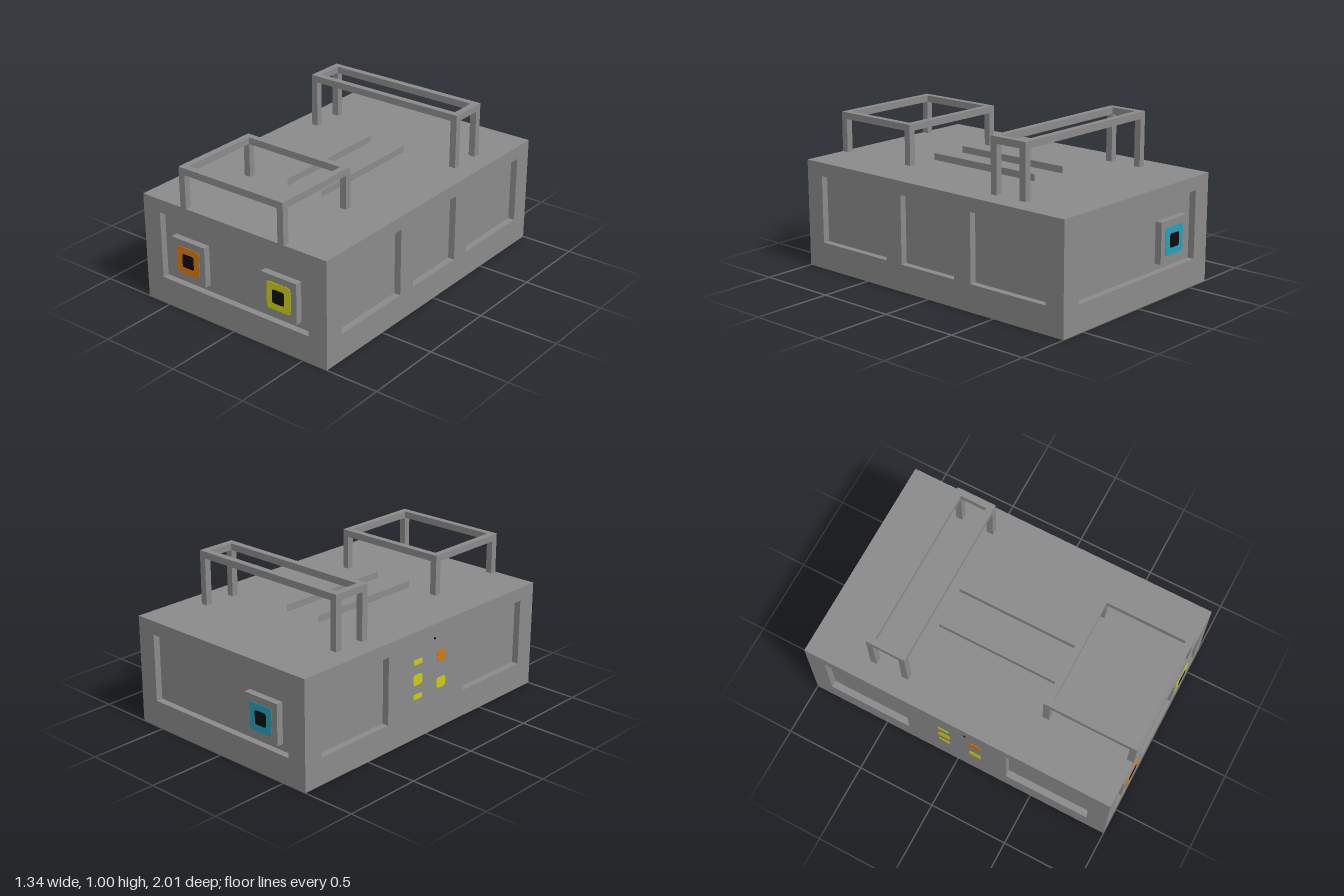
import * as THREE from 'three';

const U = 1 / 24; // thickness of panels and bars
const W = 4 / 3, H = 2 / 3, L = 2;

const mat = (name, color) => {
  const m = new THREE.MeshStandardMaterial({ color });
  m.name = name;
  return m;
};

export function createModel() {
  const grey = mat('grey', 0x8a8a8a);
  const orange = mat('orange', 0xd8780c);
  const yellow = mat('yellow', 0xcccc10);
  const blue = mat('blue', 0x24a0bc);
  const black = mat('black', 0x0c0c0c);
  const model = new THREE.Group();
  model.name = 'machineBlock';

  const add = (parent, name, geo, m, x = 0, y = 0, z = 0) => {
    const mesh = new THREE.Mesh(geo, m);
    mesh.name = name;
    mesh.position.set(x, y, z);
    parent.add(mesh);
    return mesh;
  };
  const box = (parent, name, x0, x1, y0, y1, z0, z1) =>
    add(parent, name, new THREE.BoxGeometry(x1 - x0, y1 - y0, z1 - z0), grey,
      (x0 + x1) / 2, (y0 + y1) / 2, (z0 + z1) / 2);

  // thin plate with rounded corners
  const plate = (parent, name, m, x, y, z, w, h, r, depth = 0.003) => {
    const a = w / 2, b = h / 2, s = new THREE.Shape();
    s.moveTo(-a + r, -b);
    s.lineTo(a - r, -b); s.quadraticCurveTo(a, -b, a, -b + r);
    s.lineTo(a, b - r); s.quadraticCurveTo(a, b, a - r, b);
    s.lineTo(-a + r, b); s.quadraticCurveTo(-a, b, -a, b - r);
    s.lineTo(-a, -b + r); s.quadraticCurveTo(-a, -b, -a + r, -b);
    const geo = new THREE.ExtrudeGeometry(s, { depth, bevelEnabled: false, curveSegments: 4 });
    return add(parent, name, geo, m, x, y, z);
  };

  // outer wall with window-like recesses, turned to face one side
  const wall = (name, angle, width, dist, recesses) => {
    const g = new THREE.Group();
    g.name = name;
    g.rotation.y = angle;
    const s = new THREE.Shape();
    s.moveTo(-width / 2, 0);
    s.lineTo(width / 2, 0);
    s.lineTo(width / 2, H);
    s.lineTo(-width / 2, H);
    s.closePath();
    for (const [a, b] of recesses) {
      const p = new THREE.Path();
      p.moveTo(a, 4 * U);
      p.lineTo(a, 14 * U);
      p.lineTo(b, 14 * U);
      p.lineTo(b, 4 * U);
      p.closePath();
      s.holes.push(p);
    }
    add(g, name + 'Panel', new THREE.ExtrudeGeometry(s, { depth: U, bevelEnabled: false }),
      grey, 0, 0, dist - U);
    model.add(g);
    return g;
  };

  // square connector on a raised block inside a recess
  const port = (parent, name, m, x) => {
    box(parent, name + 'Block', x - 3 * U, x + 3 * U, 5 * U, 11 * U, L / 2 - U, L / 2);
    plate(parent, name + 'Frame', m, x, H / 2, L / 2, 4 * U, 4 * U, 0.018);
    plate(parent, name + 'Socket', black, x, H / 2, L / 2 + 0.003, 2 * U, 2 * U, 0.012);
  };

  // body
  box(model, 'bodyCore', -W / 2 + U, W / 2 - U, 0, H, -L / 2 + U, L / 2 - U);
  const endRecess = [[-13 * U, 13 * U]];
  const front = wall('frontWall', 0, W, L / 2, endRecess);
  const back = wall('backWall', Math.PI, W, L / 2, endRecess);
  const outer = [[-21 * U, -8 * U], [8 * U, 21 * U]];
  wall('leftWall', Math.PI / 2, L - 2 * U, W / 2, [...outer, [-5 * U, 5 * U]]);
  const right = wall('rightWall', -Math.PI / 2, L - 2 * U, W / 2, outer);

  // connectors
  port(front, 'orangePort', orange, -8 * U);
  port(front, 'yellowPort', yellow, 8 * U);
  port(back, 'bluePort', blue, 8 * U);

  // indicator marks on the right wall: material, position, size
  const marks = [
    [yellow, -0.083, 0.48, 0.075, 0.032],
    [yellow, -0.083, 0.37, 0.08, 0.065],
    [yellow, -0.083, 0.265, 0.075, 0.032],
    [orange, 0.125, 0.458, 0.08, 0.065],
    [yellow, 0.125, 0.29, 0.08, 0.065],
    [black, 0.0625, 0.58, 0.018, 0.012],
  ];
  marks.forEach(([m, x, y, w, h], i) =>
    plate(right, 'indicator' + (i + 1), m, x, y, W / 2, w, h, Math.min(w, h) * 0.35));

  // open rectangular frames on four legs
  const rack = (name, hx, z0, z1, top) => {
    const g = new THREE.Group();
    g.name = name;
    for (const x of [-hx, hx - U]) {
      for (const z of [z0, z1 - U]) box(g, 'leg', x, x + U, H, top - U, z, z + U);
      box(g, 'sideBar', x, x + U, top - U, top, z0, z1);
    }
    for (const z of [z0, z1 - U]) box(g, 'crossBar', -hx + U, hx - U, top - U, top, z, z + U);
    model.add(g);
  };
  rack('frontRack', 9 * U, 10 * U, 24 * U, 22 * U);
  rack('rearRack', 13 * U, -15 * U, -9 * U, 24 * U);

  // top rails, open at both ends
  for (const s of [-1, 1]) {
    const geo = new THREE.BoxGeometry(2 * U, U, 19 * U);
    geo.setIndex(Array.from(geo.index.array.slice(0, 24)));
    geo.clearGroups();
    add(model, 'topRail', geo, grey, s * 3 * U, H + U / 2, U / 2);
  }
  return model;
}
